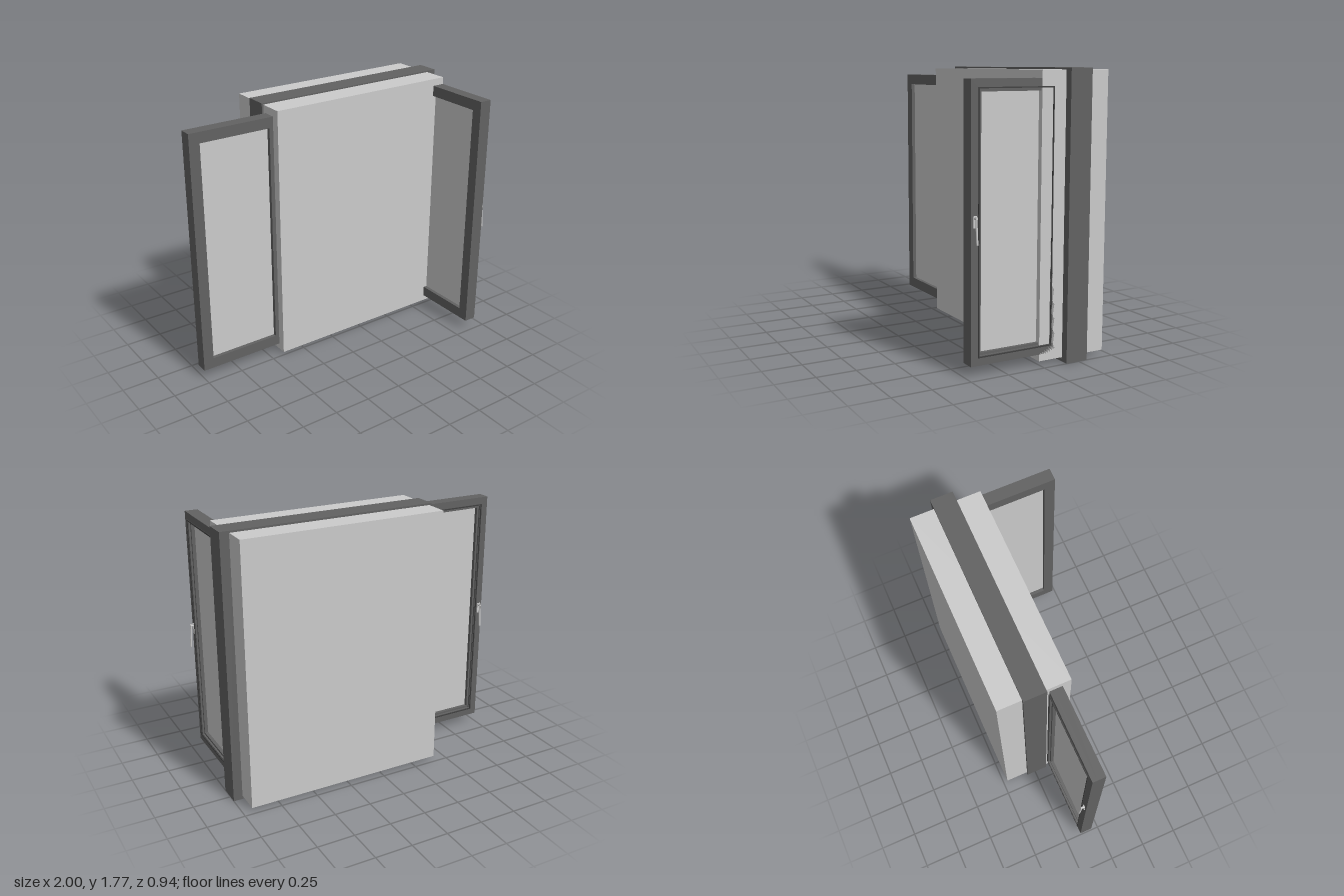
import * as THREE from 'three';

const dark = new THREE.MeshStandardMaterial({ color: 0x626262 });
const black = new THREE.MeshStandardMaterial({ color: 0x404040 });
const light = new THREE.MeshStandardMaterial({ color: 0xcccccc });

// Box given by its lower and upper corners
function block(name, mat, x0, x1, y0, y1, z0, z1) {
  const m = new THREE.Mesh(new THREE.BoxGeometry(x1 - x0, y1 - y0, z1 - z0), mat);
  m.position.set((x0 + x1) / 2, (y0 + y1) / 2, (z0 + z1) / 2);
  m.name = name;
  return m;
}

// Rectangular ring; rectangles are [x0, x1, y0, y1]
function ring(name, mat, outer, inner, z0, z1) {
  const corners = ([a, b, c, d]) => [[a, c], [b, c], [b, d], [a, d]].map(p => new THREE.Vector2(...p));
  const shape = new THREE.Shape(corners(outer));
  shape.holes.push(new THREE.Path(corners(inner).reverse()));
  const geo = new THREE.ExtrudeGeometry(shape, { depth: z1 - z0, bevelEnabled: false });
  const m = new THREE.Mesh(geo, mat);
  m.position.z = z0;
  m.name = name;
  return m;
}

// Lever handle: backplate, spindle and a drooping grip, projecting along +z
function handle() {
  const g = new THREE.Group();
  g.name = 'handle';
  g.add(block('handlePlate', light, -0.011, 0.011, -0.045, 0.025, 0, 0.006));
  const spindle = new THREE.Mesh(new THREE.CylinderGeometry(0.007, 0.008, 0.022, 16), light);
  spindle.rotation.x = Math.PI / 2;
  spindle.position.set(0, 0.012, 0.014);
  spindle.name = 'handleSpindle';
  const path = new THREE.CatmullRomCurve3([
    new THREE.Vector3(0, 0.02, 0.02), new THREE.Vector3(0, -0.03, 0.021),
    new THREE.Vector3(0, -0.09, 0.026), new THREE.Vector3(0, -0.136, 0.03)]);
  const grip = new THREE.Mesh(new THREE.TubeGeometry(path, 16, 0.006, 10), light);
  grip.name = 'handleGrip';
  g.add(spindle, grip);
  for (const t of [0, 1]) {
    const cap = new THREE.Mesh(new THREE.SphereGeometry(0.006, 10, 8), light);
    cap.position.copy(path.getPoint(t));
    cap.name = 'gripEnd';
    g.add(cap);
  }
  return g;
}

// Casement centred on x, handle face at z = 0; side is the sign of the free edge
function sash(name, w, side) {
  const g = new THREE.Group();
  g.name = name;
  const h = w / 2;
  const inset = d => [-h + d, h - d, 0.065 + d, 1.715 - d];
  g.add(ring('sashOuterProfile', dark, inset(0), inset(0.072), -0.085, -0.03));
  g.add(ring('sashInnerProfile', dark, inset(0), inset(0.058), -0.03, 0));
  g.add(ring('glazingBead', dark, inset(0.058), inset(0.072), -0.03, -0.012));
  g.add(ring('gasket', black, inset(0.047), inset(0.054), -0.005, 0.006));
  const p = inset(0.07);
  g.add(block('glassPane', light, ...p, -0.06, -0.035));
  const lever = handle();
  lever.position.set(side * (h - 0.025), 0.922, 0);
  g.add(lever);
  return g;
}

export function createModel() {
  const model = new THREE.Group();
  model.name = 'openWindow';

  // Solid block filling the wall opening
  model.add(block('openingBlock', light, -0.415, 0.94, 0.023, 1.763, -0.47, 0));

  // Fixed frame with a rebate on its front half
  const outer = [-0.43, 1, 0, 1.775];
  model.add(ring('frameBack', dark, outer, [-0.405, 0.93, 0.03, 1.755], -0.31, -0.225));
  model.add(ring('frameFront', dark, outer, [-0.418, 0.95, 0.019, 1.766], -0.225, -0.16));

  // Locking keeps in the rebate
  for (const [y0, y1] of [[0.04, 0.11], [1.33, 1.56], [1.58, 1.73]])
    model.add(block('lockKeep', light, 0.94, 0.949, y0, y1, -0.215, -0.175));

  // Two open casements
  const left = sash('rightSash', 0.63, 1);
  left.rotation.y = Math.PI;
  left.position.set(-0.685, 0, -0.14);
  const right = sash('leftSash', 0.6, -1);
  right.rotation.y = Math.PI / 2;
  right.position.set(0.94, 0, 0.17);
  model.add(left, right);
  return model;
}
